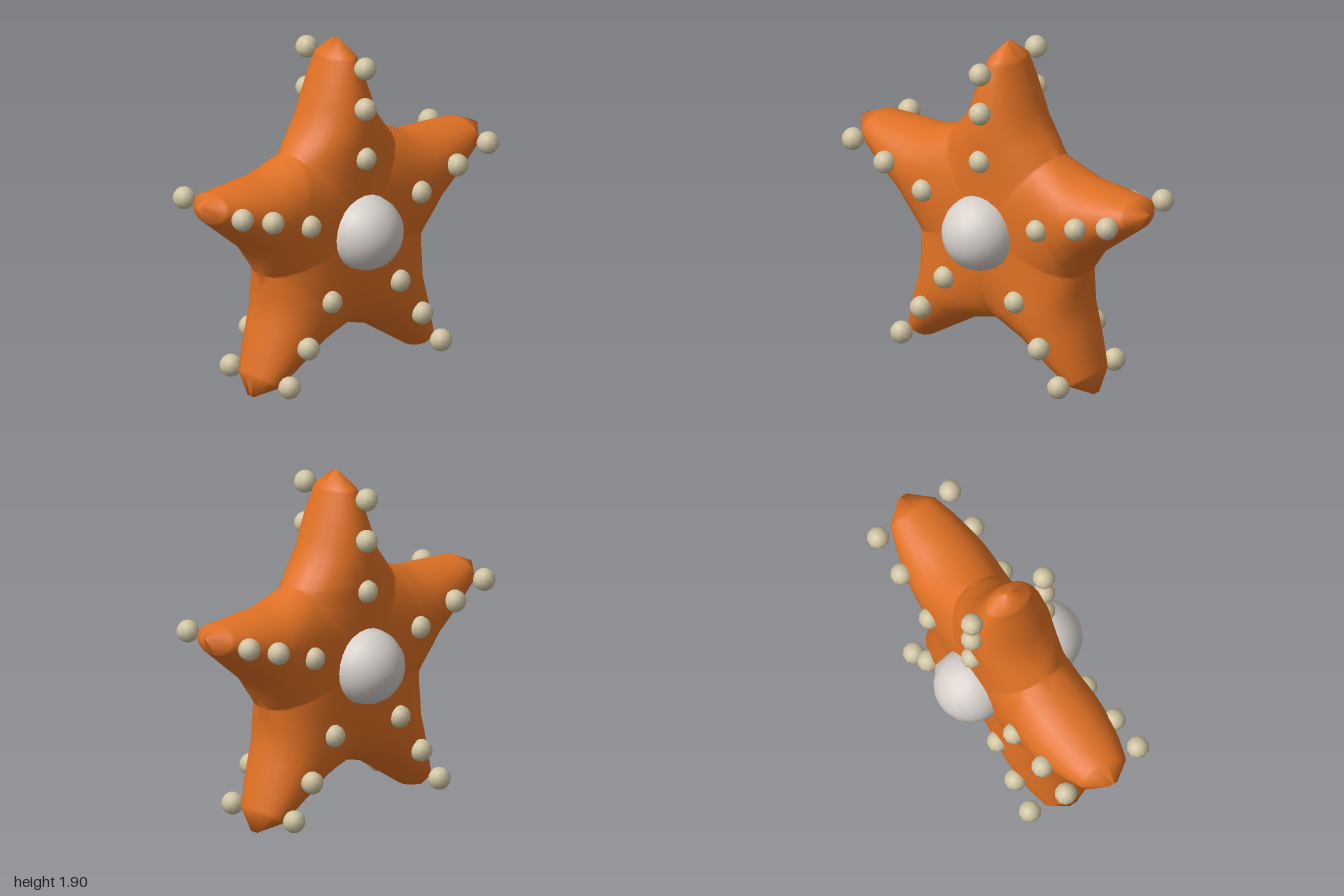
import * as THREE from 'three';
import { mergeGeometries, mergeVertices } from 'three/addons/utils/BufferGeometryUtils.js';

const ARMS = 5, CENTER_Y = 0.853, DEPTH = 0.235, VALLEY = 0.574;
const HALF = Math.PI / ARMS;
const VALLEY_T = VALLEY * Math.cos(HALF);

// Piecewise-linear lookup in [position, value] pairs
function lookup(points, t) {
  for (let i = 1; i < points.length; i++) {
    const [a, va] = points[i - 1], [b, vb] = points[i];
    if (t <= b) return va + (vb - va) * (t - a) / (b - a);
  }
  return points[points.length - 1][1];
}

const widths = [[0, 0], [VALLEY_T, VALLEY * Math.sin(HALF)], [0.605, 0.22], [0.967, 0.08], [1.052, 0]];
const depths = [[0, DEPTH], [0.58, DEPTH], [0.7, 0.215], [0.82, 0.187], [0.95, 0.145], [1.052, 0.025]];
const stations = [0, 0.12, 0.25, 0.35, 0.42, 0.45, VALLEY_T, 0.53, 0.605, 0.7, 0.82, 0.95, 0.967, 1.052];

// One face of one arm: rounded cross-sections along the arm, blending into the next arm near the middle
function armFace(side) {
  const across = 12, pos = [], index = [];
  for (const t of stations) {
    const w = lookup(widths, t), d = lookup(depths, t);
    const r = t / Math.cos(HALF) / VALLEY;
    const border = r < 0.999 ? DEPTH * Math.sqrt(1 - r ** 4) : 0;
    for (let j = 0; j <= across; j++) {
      const s = Math.sin((j / across - 0.5) * Math.PI);
      const z = Math.sqrt(Math.max(0, d * d - (d * d - border * border) * s * s));
      pos.push(w * s, t, side * z);
    }
  }
  const row = across + 1;
  for (let i = 0; i < stations.length - 1; i++) {
    for (let j = 0; j < across; j++) {
      const a = i * row + j, b = a + 1, c = a + row, e = c + 1;
      const tris = i === 0 ? [[a, e, c]] : [[a, b, e], [a, e, c]];
      for (const [p, q, u] of tris) index.push(...(side > 0 ? [p, q, u] : [p, u, q]));
    }
  }
  const g = new THREE.BufferGeometry();
  g.setAttribute('position', new THREE.Float32BufferAttribute(pos, 3));
  g.setIndex(index);
  return g;
}

export function createModel() {
  const orange = new THREE.MeshStandardMaterial({ color: 0xdf7024 });
  orange.name = 'orange skin';
  const pearl = new THREE.MeshStandardMaterial({ color: 0xd6cfca });
  pearl.name = 'pale grey';
  const cream = new THREE.MeshStandardMaterial({ color: 0xcfc3a2 });
  cream.name = 'cream';

  const model = new THREE.Group();
  model.name = 'starfish';
  const add = (name, geometry, material, x, y, z) => {
    const mesh = new THREE.Mesh(geometry, material);
    mesh.name = name;
    mesh.position.set(x, y, z);
    model.add(mesh);
  };

  // Five-armed body, welded so the shading runs smoothly across arms
  const faces = [];
  for (let k = 0; k < ARMS; k++) {
    for (const side of [1, -1]) faces.push(armFace(side).rotateZ(-k * 2 * HALF));
  }
  const body = mergeVertices(mergeGeometries(faces), 1e-4);
  body.computeVertexNormals();
  add('body', body, orange, 0, CENTER_Y, 0);

  // Central dome and rows of beads on both faces
  const dome = new THREE.SphereGeometry(0.208, 24, 10).rotateX(Math.PI / 2);
  const bead = new THREE.SphereGeometry(0.062, 10, 8);
  for (const side of [1, -1]) {
    const label = side > 0 ? 'front' : 'back';
    add(label + 'Dome', dome, pearl, 0, CENTER_Y, side * DEPTH);
    for (let k = 0; k < ARMS; k++) {
      const angle = k * 2 * HALF;
      for (const r of [0.42, 0.702, 0.935]) {
        add(label + 'Bead', bead, cream, r * Math.sin(angle), CENTER_Y + r * Math.cos(angle), side * DEPTH);
      }
    }
  }
  return model;
}
